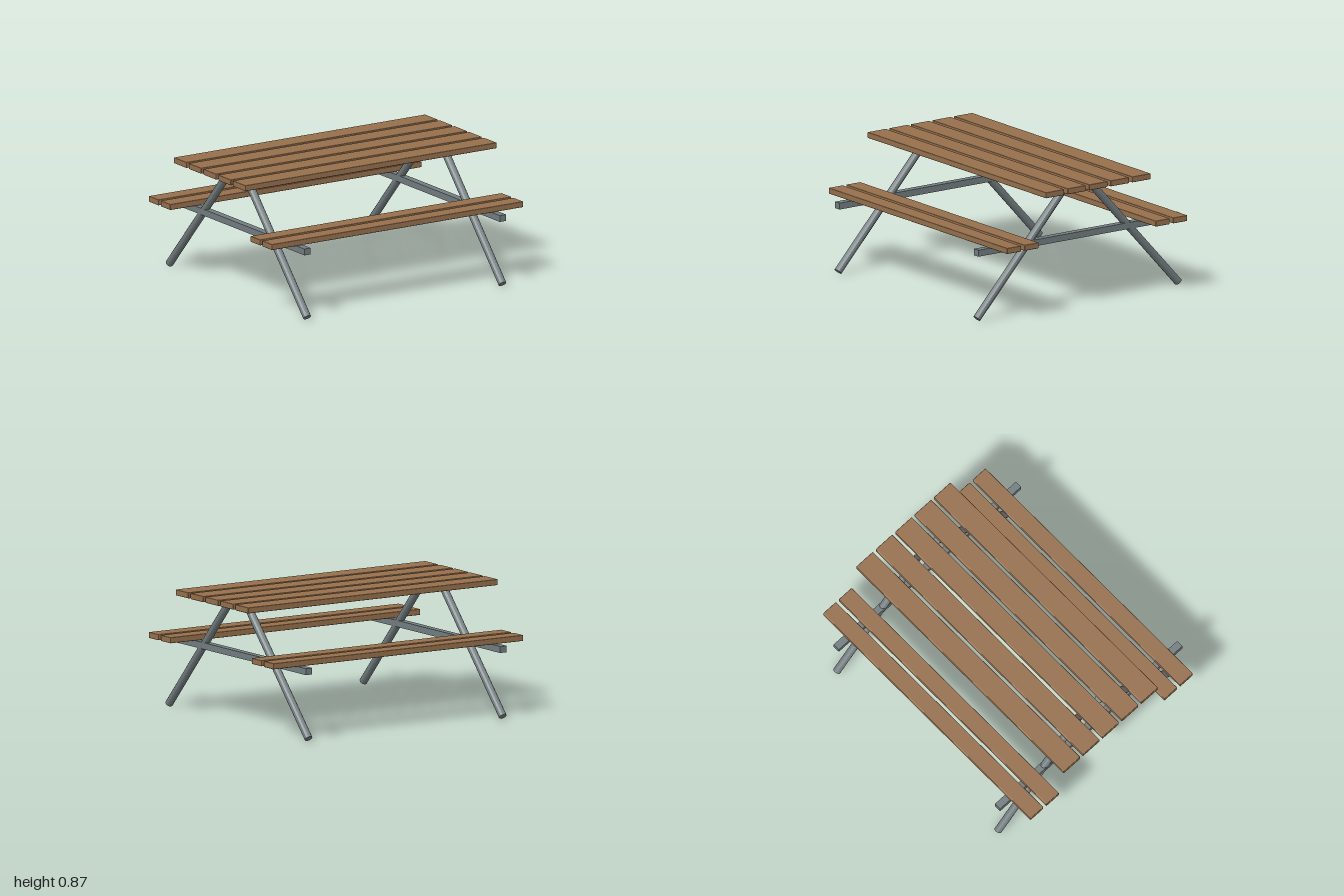
import * as THREE from 'three';
import { RoundedBoxGeometry } from 'three/addons/geometries/RoundedBoxGeometry.js';

export function createModel() {
  const wood = new THREE.MeshStandardMaterial({ color: 0x96704d });
  wood.name = 'wood';
  const metal = new THREE.MeshStandardMaterial({ color: 0x737d80, flatShading: true });
  metal.name = 'metal';

  const model = new THREE.Group();
  model.name = 'picnicTable';

  const add = (name, geometry, material, x, y, z) => {
    const mesh = new THREE.Mesh(geometry, material);
    mesh.name = name;
    mesh.position.set(x, y, z);
    model.add(mesh);
    return mesh;
  };

  // Table top: five planks with softened edges
  const topPlank = new RoundedBoxGeometry(2, 0.04, 0.152, 2, 0.005);
  for (let i = -2; i <= 2; i++) add('topPlank', topPlank, wood, 0, 0.846, -0.009 + i * 0.178);

  // Benches: two planks on each side
  const benchPlank = new RoundedBoxGeometry(2, 0.04, 0.117, 2, 0.005);
  for (const side of [1, -1])
    for (const z of [0.541, 0.685]) add('benchPlank', benchPlank, wood, 0, 0.513, side * z);

  // Metal frames: a square cross bar and two slanted round legs at each end
  const bar = new THREE.BoxGeometry(0.05, 0.044, 1.67);
  const up = new THREE.Vector3(0, 1, 0);
  for (const x of [-0.777, 0.777]) {
    add('crossBar', bar, metal, x, 0.471, 0);
    for (const side of [1, -1]) {
      const foot = new THREE.Vector3(x, 0.018, side * 0.83);
      const head = new THREE.Vector3(x, 0.826, side * 0.089);
      const dir = head.clone().sub(foot);
      const legGeometry = new THREE.CylinderGeometry(0.027, 0.027, dir.length(), 12);
      const mid = foot.clone().add(head).multiplyScalar(0.5);
      const leg = add('leg', legGeometry, metal, mid.x, mid.y, mid.z);
      leg.quaternion.setFromUnitVectors(up, dir.normalize());
    }
  }
  return model;
}
